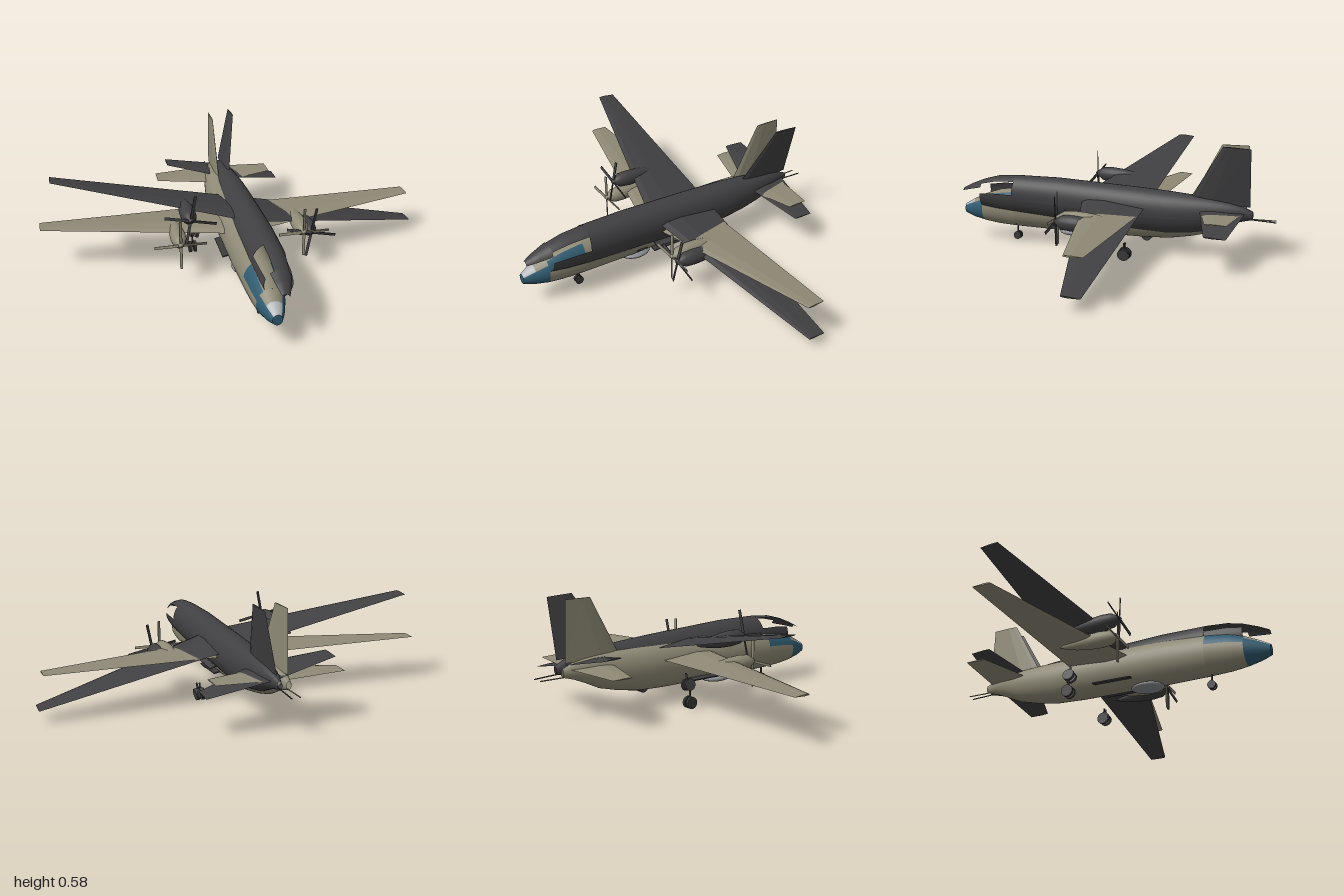
import * as THREE from 'three';

const mat = (name, color, side = THREE.FrontSide) => {
  const m = new THREE.MeshStandardMaterial({ color, side });
  m.name = name;
  return m;
};

// Skin over a row of point rings; open rings give shell patches, closed rings get end caps
function loft(rings, closed) {
  const n = rings[0].length, index = [];
  for (let j = 0; j < rings.length - 1; j++) {
    for (let i = 0; i < (closed ? n : n - 1); i++) {
      const a = j * n + i, b = j * n + (i + 1) % n;
      index.push(a, b, b + n, a, b + n, a + n);
    }
  }
  if (closed) {
    const last = (rings.length - 1) * n;
    for (let i = 1; i < n - 1; i++) index.push(0, i + 1, i, last, last + i, last + i + 1);
  }
  let g = new THREE.BufferGeometry();
  g.setAttribute('position', new THREE.Float32BufferAttribute(rings.flat(2), 3));
  g.setIndex(index);
  if (closed) g = g.toNonIndexed();
  g.computeVertexNormals();
  return g;
}

// Fuselage stations: z, half width, bottom, top
const STATIONS = [
  [-0.72, 0.012, 0.205, 0.245], [-0.66, 0.03, 0.188, 0.27], [-0.6, 0.045, 0.163, 0.283],
  [-0.52, 0.06, 0.125, 0.292], [-0.42, 0.075, 0.1, 0.297], [-0.3, 0.087, 0.08, 0.3],
  [-0.15, 0.09, 0.075, 0.302], [0.3, 0.09, 0.075, 0.3], [0.53, 0.084, 0.08, 0.287],
  [0.64, 0.078, 0.086, 0.272], [0.72, 0.068, 0.097, 0.245], [0.79, 0.046, 0.112, 0.212],
  [0.84, 0.024, 0.13, 0.183],
];

function station(z) {
  let i = 0;
  while (i < STATIONS.length - 2 && z > STATIONS[i + 1][0]) i++;
  const [p, q] = [STATIONS[i], STATIONS[i + 1]];
  const t = (z - p[0]) / (q[0] - p[0]);
  return p.map((v, k) => v + (q[k] - v) * t);
}

// Part of the fuselage skin between two z values and two angles (degrees, 90 = top)
function skin(z0, z1, a0, a1) {
  const zs = [z0, ...STATIONS.map(s => s[0]).filter(z => z > z0 && z < z1), z1];
  const n = Math.max(3, Math.ceil((a1 - a0) / 10));
  return loft(zs.map(z => {
    const [, w, bottom, top] = station(z);
    return Array.from({ length: n + 1 }, (_, i) => {
      const a = THREE.MathUtils.degToRad(a0 + (a1 - a0) * i / n);
      return [w * Math.cos(a), (top + bottom) / 2 + (top - bottom) / 2 * Math.sin(a), z];
    });
  }), false);
}

// Flying surface along x; each section is x, leading z, trailing z, thickness
function foil(sections) {
  return loft(sections.map(([x, le, te, t]) => {
    const c = le - te;
    return [[x, t / 2, le - c * 0.35], [x, t * 0.35, le - c * 0.1], [x, 0, le],
      [x, -t * 0.35, le - c * 0.1], [x, -t / 2, le - c * 0.35], [x, 0, te]];
  }), true);
}

function buildAircraft(name, paint, glass, pale, radomeMat, rubber) {
  const plane = new THREE.Group();
  plane.name = name;
  const add = (part, geometry, material, x = 0, y = 0, z = 0) => {
    const m = new THREE.Mesh(geometry, material);
    m.name = part;
    m.position.set(x, y, z);
    plane.add(m);
    return m;
  };

  // Fuselage with a cut-out for the cockpit windows
  add('fuselage', skin(-0.72, 0.53, 0, 360), paint);
  add('cockpitLower', skin(0.53, 0.72, -195, 15), paint);
  add('cockpitRoof', skin(0.53, 0.72, 58, 122), paint);
  add('noseRoof', skin(0.78, 0.84, 40, 140), pale || paint);
  add('noseDeck', skin(0.72, 0.78, 40, 140), paint);
  if (glass) {
    add('noseGlass', skin(0.72, 0.84, -220, 40), glass);
    const [, w, bottom, top] = station(0.84);
    const tip = add('noseTip', new THREE.CircleGeometry(1, 24), glass, 0, (top + bottom) / 2, 0.84);
    tip.scale.set(w, (top - bottom) / 2, 1);
    for (const a of [15, 122]) add('cockpitWindow', skin(0.53, 0.72, a, a + 43), glass);
  }

  // Wings and tail
  add('wing', foil([[-0.985, -0.1, -0.19, 0.008], [0, 0.155, -0.19, 0.034],
    [0.985, -0.1, -0.19, 0.008]]), paint, 0, 0.23, 0);
  add('tailplane', foil([[-0.32, -0.545, -0.65, 0.006], [0, -0.45, -0.685, 0.018],
    [0.32, -0.545, -0.65, 0.006]]), paint, 0, 0.24, 0);
  const fin = add('fin', foil([[0, -0.4, -0.705, 0.022], [0.3, -0.56, -0.695, 0.008]]), paint, 0, 0.27, 0);
  fin.rotation.z = Math.PI / 2;

  // Tail gun
  const gun = add('tailGun', new THREE.CylinderGeometry(0.003, 0.003, 0.17, 8), paint, 0, 0.205, -0.75);
  gun.rotation.x = Math.PI / 2;

  // Engines, propellers and main gear
  const profile = [[0, -0.12], [0.012, -0.09], [0.027, -0.03], [0.037, 0.04], [0.04, 0.1],
    [0.036, 0.15], [0.022, 0.172], [0.012, 0.19], [0, 0.2]].map(p => new THREE.Vector2(...p));
  for (const s of [-1, 1]) {
    const x = s * 0.315;
    const nacelle = add('nacelle', new THREE.LatheGeometry(profile, 20), paint, x, 0.218, 0);
    nacelle.rotation.x = Math.PI / 2;
    for (let i = 0; i < 4; i++) {
      const blade = new THREE.BoxGeometry(0.014, 0.125, 0.004).translate(0, 0.068, 0);
      const b = add('propellerBlade', blade, paint, x, 0.216, 0.187);
      b.rotation.set(0, 0.3, i * Math.PI / 2, 'ZYX');
    }
    add('mainStrut', new THREE.CylinderGeometry(0.005, 0.005, 0.06, 8), rubber, s * 0.205, 0.06, -0.125);
    for (const d of [-0.013, 0.013]) {
      const wheel = add('mainWheel', new THREE.CylinderGeometry(0.03, 0.03, 0.014, 20), rubber,
        s * 0.205 + d, 0.032, -0.125);
      wheel.rotation.z = Math.PI / 2;
    }
    // Open bay door
    const door = add('bayDoor', new THREE.BoxGeometry(0.05, 0.006, 0.2), rubber, s * 0.075, 0.11, 0.05);
    door.rotation.z = -s * 0.2;
  }

  // Nose gear
  add('noseStrut', new THREE.CylinderGeometry(0.005, 0.005, 0.07, 8), rubber, 0, 0.062, 0.54);
  for (const d of [-0.01, 0.01]) {
    const wheel = add('noseWheel', new THREE.CylinderGeometry(0.021, 0.021, 0.01, 16), rubber, d, 0.027, 0.54);
    wheel.rotation.z = Math.PI / 2;
  }

  // Belly radome
  const radome = add('bellyRadome', new THREE.SphereGeometry(1, 20, 10), radomeMat, 0, 0.073, 0.21);
  radome.scale.set(0.065, 0.02, 0.085);
  return plane;
}

export function createModel() {
  const root = new THREE.Group();
  const tan = mat('tan paint', 0x8f8a76, THREE.DoubleSide);
  const dark = mat('dark grey paint', 0x404042, THREE.DoubleSide);
  const blue = mat('blue glass', 0x2f5b70, THREE.DoubleSide);
  const pale = mat('pale glass', 0xb4b8ba, THREE.DoubleSide);
  const grey = mat('radome grey', 0x8a8d90);
  const rubber = mat('rubber', 0x3a3a3b);

  // Level aircraft
  const level = buildAircraft('levelAircraft', tan, blue, pale, grey, rubber);
  level.position.x = -0.015;
  root.add(level);

  // Unglazed aircraft, rolled and pitched about its wing centre
  const banked = new THREE.Group();
  banked.name = 'bankedAircraft';
  const body = buildAircraft('unglazedAircraft', dark, null, null, dark, dark);
  body.position.y = -0.23;
  banked.add(body);
  banked.position.set(0.035, 0.277, -0.01);
  banked.rotation.set(-0.055, 0, -0.21);
  root.add(banked);
  return root;
}
